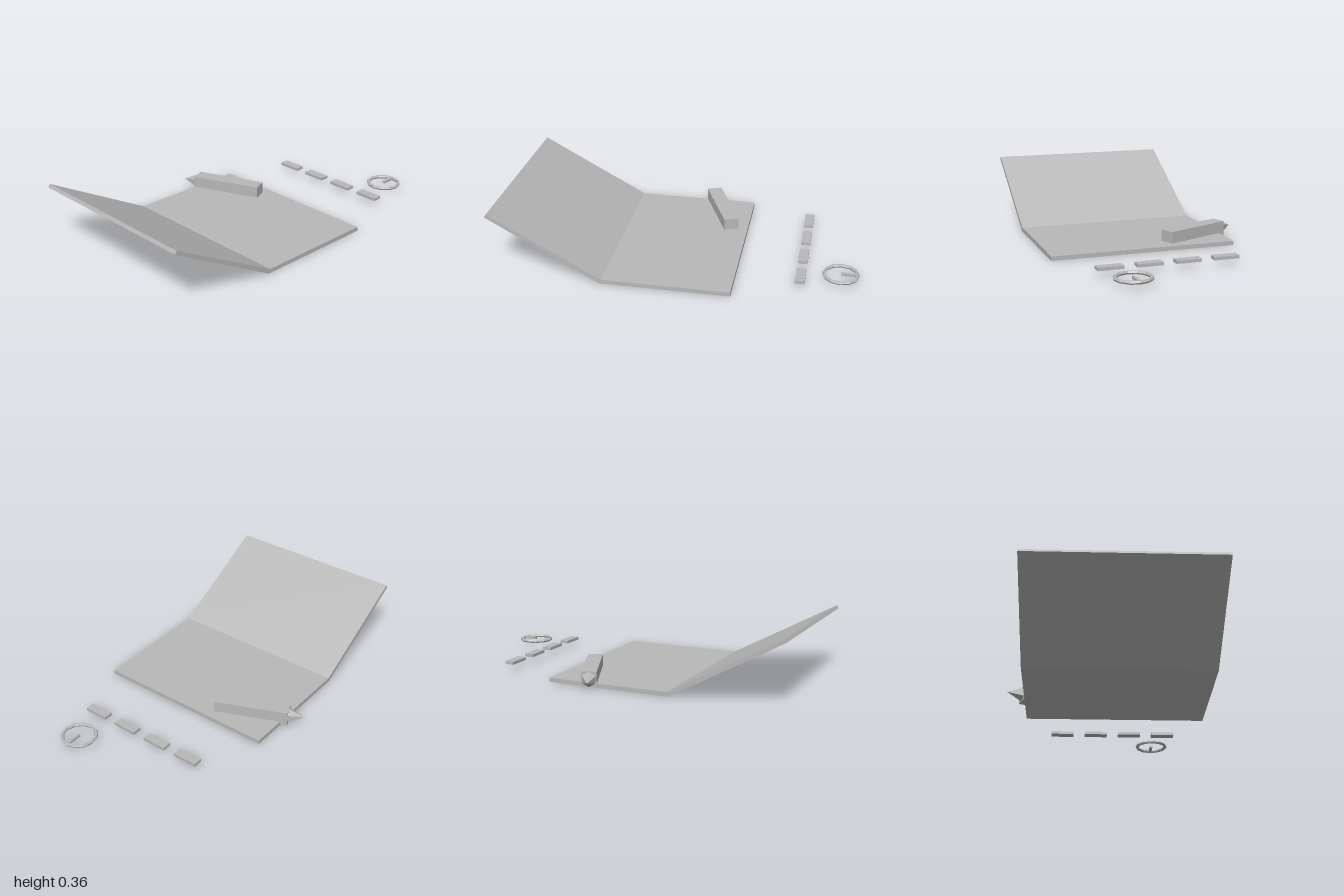
import * as THREE from 'three';

export function createModel() {
  const model = new THREE.Group();
  const grey = new THREE.MeshStandardMaterial({ color: 0xb8b8b8, flatShading: true });
  grey.name = 'plain grey';

  function add(parent, name, geometry, x, y, z) {
    const mesh = new THREE.Mesh(geometry, grey);
    mesh.name = name;
    mesh.position.set(x, y, z);
    parent.add(mesh);
    return mesh;
  }

  // Folded board: side profile (z, y) swept across the width
  const profile = new THREE.Shape([
    [-0.333, 0], [0.38, 0], [1, 0.342], [0.99, 0.36], [0.37, 0.024], [-0.333, 0.024],
  ].map(([z, y]) => new THREE.Vector2(-z, y)));
  const boardGeometry = new THREE.ExtrudeGeometry(profile, { depth: 1.056, bevelEnabled: false });
  boardGeometry.rotateY(Math.PI / 2);
  add(model, 'foldedBoard', boardGeometry, -0.48, 0, 0);

  // Square marker with a six-sided tip, lying across the back corner
  const marker = new THREE.Group();
  marker.name = 'marker';
  marker.position.set(-0.5, 0.047, -0.0765);
  marker.rotation.y = 0.4;
  model.add(marker);
  add(marker, 'markerBody', new THREE.BoxGeometry(0.418, 0.086, 0.086), 0.209, 0, 0);
  const tip = new THREE.ConeGeometry(0.043, 0.088, 6, 1, false, Math.PI / 2);
  tip.rotateZ(Math.PI / 2);
  add(marker, 'markerTip', tip, -0.044, 0, 0);

  // Row of four bars behind the board
  for (let i = 0; i < 4; i++) {
    add(model, 'bar' + (i + 1), new THREE.BoxGeometry(0.14, 0.017, 0.053), -0.27 + i * 0.211, 0.04, -0.685);
  }

  // Dial ring with one hand
  const ring = new THREE.TorusGeometry(0.0925, 0.01, 6, 12);
  ring.rotateX(-Math.PI / 2);
  add(model, 'dialRing', ring, 0.309, 0.04, -0.898);
  add(model, 'dialHand', new THREE.BoxGeometry(0.018, 0.014, 0.084), 0.309, 0.043, -0.942);

  return model;
}
